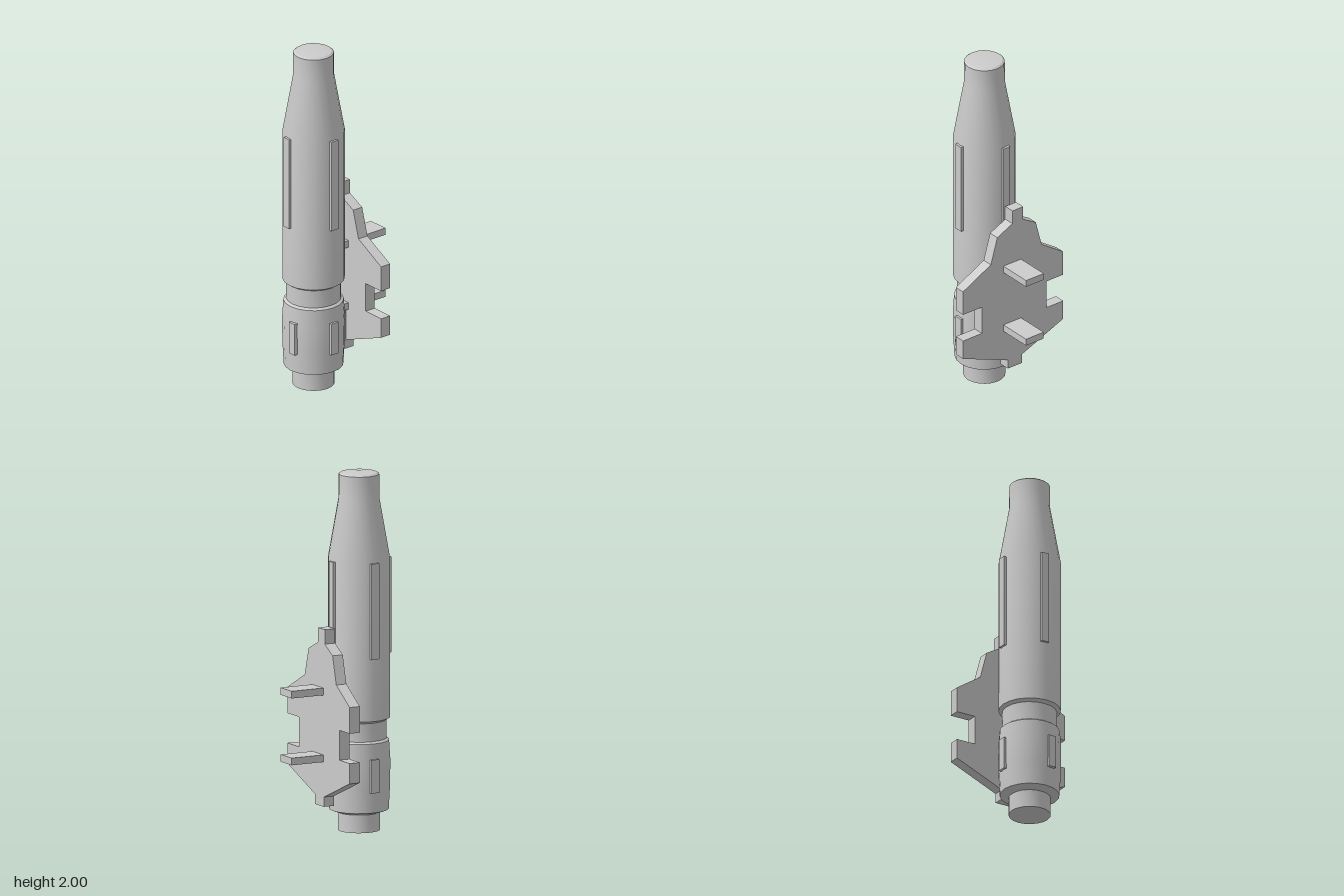
import * as THREE from 'three';
import { toCreasedNormals } from 'three/addons/utils/BufferGeometryUtils.js';

const material = new THREE.MeshStandardMaterial({ color: 0xcccccc });
const AXIS_X = -0.135;

export function createModel() {
  const model = new THREE.Group();

  const add = (name, geometry, x, y, z, parent = model) => {
    const mesh = new THREE.Mesh(geometry, material);
    mesh.name = name;
    mesh.position.set(x, y, z);
    parent.add(mesh);
    return mesh;
  };
  // Box given by its minimum and maximum corners
  const block = (name, [x0, y0, z0], [x1, y1, z1], parent) =>
    add(name, new THREE.BoxGeometry(x1 - x0, y1 - y0, z1 - z0),
      (x0 + x1) / 2, (y0 + y1) / 2, (z0 + z1) / 2, parent);

  // Turned body: stub, lower barrel, groove, main barrel, taper and nose
  const profile = [
    [0, 0], [0.115, 0.01], [0.115, 0.11], [0.163, 0.127], [0.17, 0.26],
    [0.172, 0.4], [0.165, 0.51], [0.15, 0.52], [0.15, 0.622], [0.17, 0.635],
    [0.17, 1.52], [0.112, 1.85], [0.111, 1.98], [0.1, 1.988], [0, 2],
  ].map(([r, y]) => new THREE.Vector2(r, y));
  add('body', toCreasedNormals(new THREE.LatheGeometry(profile, 20), 0.5), AXIS_X, 0, 0);

  // Raised ribs on four sides of each barrel
  const ribs = new THREE.Group();
  ribs.name = 'ribs';
  model.add(ribs);
  for (const [label, y0, y1, sideZ] of [['upper', 0.98, 1.51, -0.012], ['lower', 0.24, 0.425, 0.033]]) {
    for (const s of [-1, 1]) {
      const inner = s * 0.14, outer = s * 0.182;
      const lo = Math.min(inner, outer), hi = Math.max(inner, outer);
      block(label + 'EndRib', [AXIS_X - 0.025, y0, lo], [AXIS_X + 0.025, y1, hi], ribs);
      block(label + 'SideRib', [AXIS_X + lo, y0, sideZ - 0.023], [AXIS_X + hi, y1, sideZ + 0.023], ribs);
    }
  }

  // Notched mounting plate, outlined as (z, y) and extruded along x
  const outline = [
    [0.005, 1.15], [0.005, 1.07], [0.11, 1.02], [0.155, 0.865], [0.197, 0.865],
    [0.348, 0.765], [0.348, 0.62], [0.217, 0.62], [0.217, 0.455], [0.348, 0.455],
    [0.348, 0.342], [0.037, 0.222], [0.037, 0.168], [-0.06, 0.168], [-0.06, 0.222],
    [-0.348, 0.342], [-0.348, 0.455], [-0.233, 0.455], [-0.233, 0.62],
    [-0.348, 0.62], [-0.348, 0.765], [-0.198, 0.865], [-0.157, 1.02],
    [-0.07, 1.07], [-0.07, 1.15],
  ].filter(([z, y]) => !(z === 0.197 && y === 0.865))
    .map(([z, y]) => new THREE.Vector2(-z, y));
  const plate = new THREE.ExtrudeGeometry(new THREE.Shape(outline), { depth: 0.063, bevelEnabled: false });
  plate.rotateY(Math.PI / 2);
  add('mountingPlate', plate, 0.054, 0, 0);

  // Flat pegs running through the plate into the body
  for (const y of [0.435, 0.805]) {
    block('peg', [0.015, y - 0.02, -0.055], [0.315, y + 0.02, 0.068]);
  }

  return model;
}
